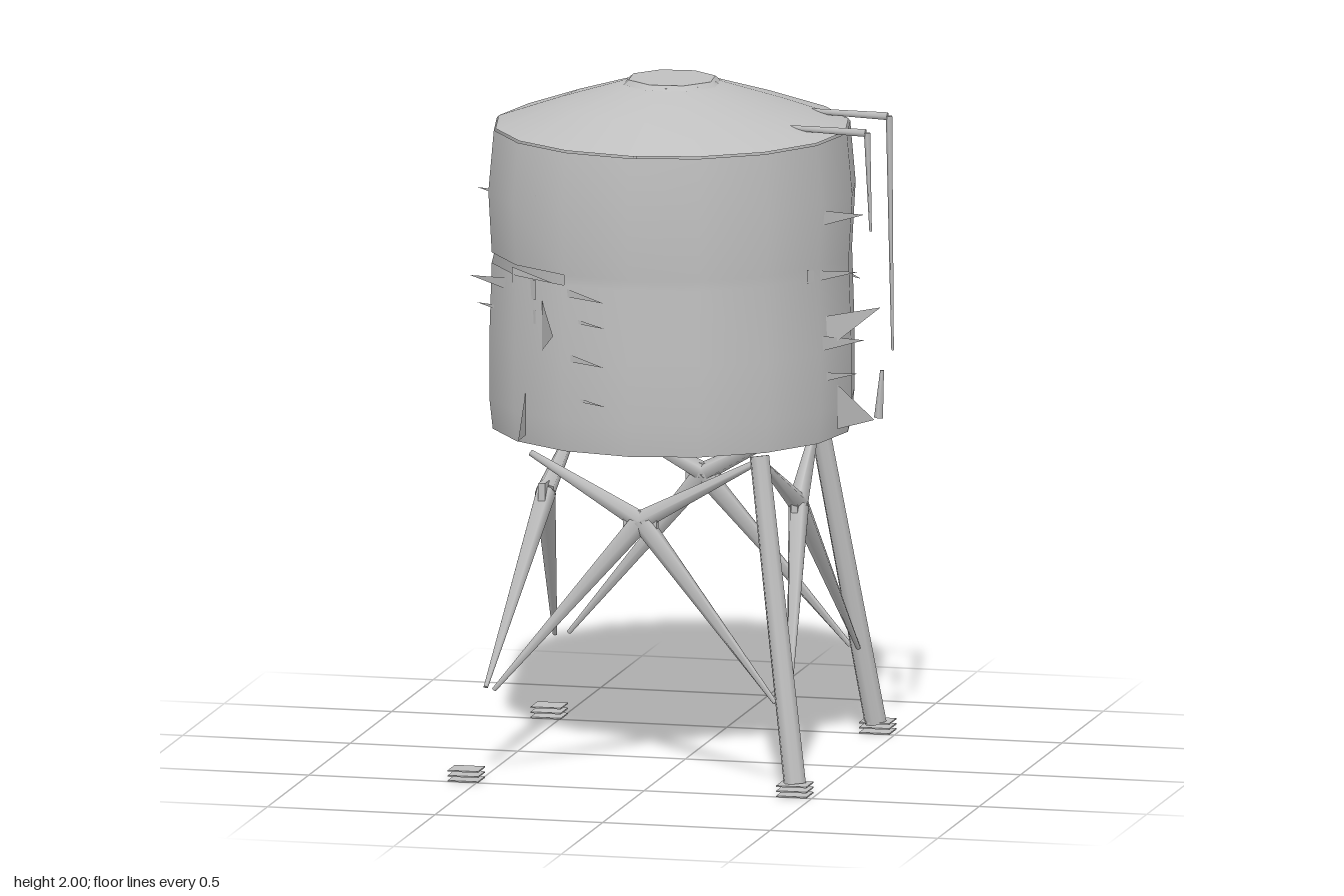
import * as THREE from 'three';

const metal = new THREE.MeshStandardMaterial({ color: 0xc0c0c0, side: THREE.DoubleSide });
metal.name = 'grey metal';
const V = (x, y, z) => new THREE.Vector3(x, y, z);
const CX = -0.05, CZ = -0.04; // axis of the tower
const R = 0.535; // tank radius

// point around the axis; 0 degrees is the front, 90 is the model's left
function around(degrees, radius, y) {
  const a = THREE.MathUtils.degToRad(degrees);
  return V(CX + Math.sin(a) * radius, y, CZ + Math.cos(a) * radius);
}

function add(group, name, geometry) {
  const mesh = new THREE.Mesh(geometry, metal);
  mesh.name = name;
  group.add(mesh);
  return mesh;
}

// tapered bar between two points
function bar(group, name, a, b, ra, rb, sides = 6) {
  const d = b.clone().sub(a);
  const mesh = add(group, name, new THREE.CylinderGeometry(rb, ra, d.length(), sides));
  mesh.position.copy(a).lerp(b, 0.5);
  mesh.quaternion.setFromUnitVectors(V(0, 1, 0), d.normalize());
}

// round skin through [radius, y] rows; skip(row, column) leaves a gap
function skin(rows, skip = () => false) {
  const n = 16, points = [], index = [];
  rows.forEach(([r, y], j) => {
    for (let i = 0; i < n; i++) {
      points.push(around(i * 360 / n, r, y));
      if (j === rows.length - 1 || skip(j, i)) continue;
      const a = j * n + i, b = j * n + (i + 1) % n;
      index.push(a, b, a + n, b, b + n, a + n);
    }
  });
  const g = new THREE.BufferGeometry().setFromPoints(points);
  g.setIndex(index);
  g.computeVertexNormals();
  return g;
}

function makeTank() {
  const tank = new THREE.Group();
  tank.name = 'tank';
  // wall, slightly barrelled, split open along part of its middle seam
  const open = [9, 10, 12, 13, 14];
  const wall = [[0.525, 0.98], [R, 1.07], [R, 1.25], [0.528, 1.47], [0.528, 1.5], [0.538, 1.68], [0.522, 1.86]];
  add(tank, 'tankWall', skin(wall, (j, i) => j === 3 && open.includes(i)));
  add(tank, 'tankFloor', skin([[0.001, 0.965], [0.525, 0.98]]));
  add(tank, 'roof', skin([[0.517, 1.865], [0.33, 1.93], [0.15, 1.985], [0.001, 1.987]]));
  // hatch made of two turned lids
  for (const [turn, y] of [[0.1, 1.985], [0.5, 1.993]]) {
    const lid = add(tank, 'roofHatch', new THREE.CylinderGeometry(0.13, 0.145, 0.014, 8));
    lid.position.set(CX, y, CZ);
    lid.rotation.y = turn;
  }
  return tank;
}

function makeTornSheets() {
  const sheets = new THREE.Group();
  sheets.name = 'tornSheets';
  // triangle with an upright edge on the wall and a tip bent outwards
  function tear(angle, y, sweep, height, out, drop) {
    const g = new THREE.BufferGeometry().setFromPoints([
      around(angle, R - 0.01, y - height / 2),
      around(angle + sweep, R + out, y - drop),
      around(angle, R - 0.01, y + height / 2),
    ]);
    g.computeVertexNormals();
    add(sheets, 'tornSheet', g);
  }
  // each seam: base angle, sweep, then the heights of its tears
  const seams = [
    [-48, 42, 1.15, 1.27, 1.38, 1.46],
    [-35, -40, 1.36, 1.44, 1.7],
    [62, 24, 1.18, 1.28, 1.48, 1.65],
    [-110, -24, 1.32, 1.5],
    [-155, 18, 1.42, 1.64],
    [140, -22, 1.4],
  ];
  for (const [angle, sweep, ...heights] of seams) {
    heights.forEach((y, i) => tear(angle, y, sweep, 0.04 + 0.02 * (i % 2), 0.03 + 0.02 * (i % 2), 0.02));
  }
  // larger flaps: front corner, front, left side
  tear(-40, 1.07, 14, 0.13, 0.16, 0.04);
  tear(-32, 1.34, 13, 0.15, 0.1, 0.0);
  tear(72, 1.3, 14, 0.1, 0.1, -0.06);
  tear(80, 1.07, 14, 0.13, 0.06, 0.06);
  return sheets;
}

// distance of a leg from the axis at height y
const spread = (y) => 0.487 - (y - 0.03) * 0.15;

function makeStand() {
  const stand = new THREE.Group();
  stand.name = 'stand';
  for (const sx of [-1, 1]) {
    for (const sz of [-1, 1]) {
      // foot of three thin plates
      for (const y of [0.002, 0.017, 0.032]) {
        const plate = add(stand, 'footPlate', new THREE.BoxGeometry(0.09, 0.004, 0.085));
        plate.position.set(CX + sx * 0.49, y, CZ + sz * 0.5);
      }
      // legs remain on one side only
      if (sx > 0) {
        const at = (y) => V(CX + sx * spread(y), y, CZ + sz * spread(y));
        bar(stand, 'leg', at(0.03), at(0.965), 0.033, 0.029, 8);
      }
    }
  }
  // crossed braces on the four sides, one of them missing an arm
  for (let k = 0; k < 4; k++) {
    const brace = new THREE.Group();
    brace.name = 'crossBrace';
    brace.position.set(CX, 0, CZ);
    brace.rotation.y = k * Math.PI / 2;
    const hub = V(0, 0.765, spread(0.765));
    for (const s of [-1, 1]) {
      const low = V(s * 0.42, 0.26, spread(0.26)), high = V(s * 0.335, 0.945, spread(0.945));
      bar(brace, 'lowerBrace', hub, low, 0.032, 0.007, 5);
      if (k !== 3 || s < 0) bar(brace, 'upperBrace', hub, high, 0.03, 0.01, 5);
    }
    const gusset = add(brace, 'gusset', new THREE.BoxGeometry(0.1, 0.06, 0.02));
    gusset.position.copy(hub);
    stand.add(brace);
  }
  return stand;
}

function makeLadder() {
  const ladder = new THREE.Group();
  ladder.name = 'ladder';
  // hooked rails, one broken short
  for (const [z, bottom] of [[-0.175, 1.2], [0.09, 1.6]]) {
    bar(ladder, 'railHook', V(0.33, 1.895, z), V(0.56, 1.89, z), 0.008, 0.012, 5);
    bar(ladder, 'rail', V(0.565, 1.89, z), V(0.575, bottom, z), 0.01, 0.004, 5);
  }
  bar(ladder, 'railStub', V(0.545, 1.14, -0.17), V(0.535, 1.0, -0.17), 0.006, 0.014, 5);
  return ladder;
}

export function createModel() {
  const model = new THREE.Group();
  model.name = 'waterTower';
  model.add(makeTank(), makeTornSheets(), makeStand(), makeLadder());
  return model;
}
